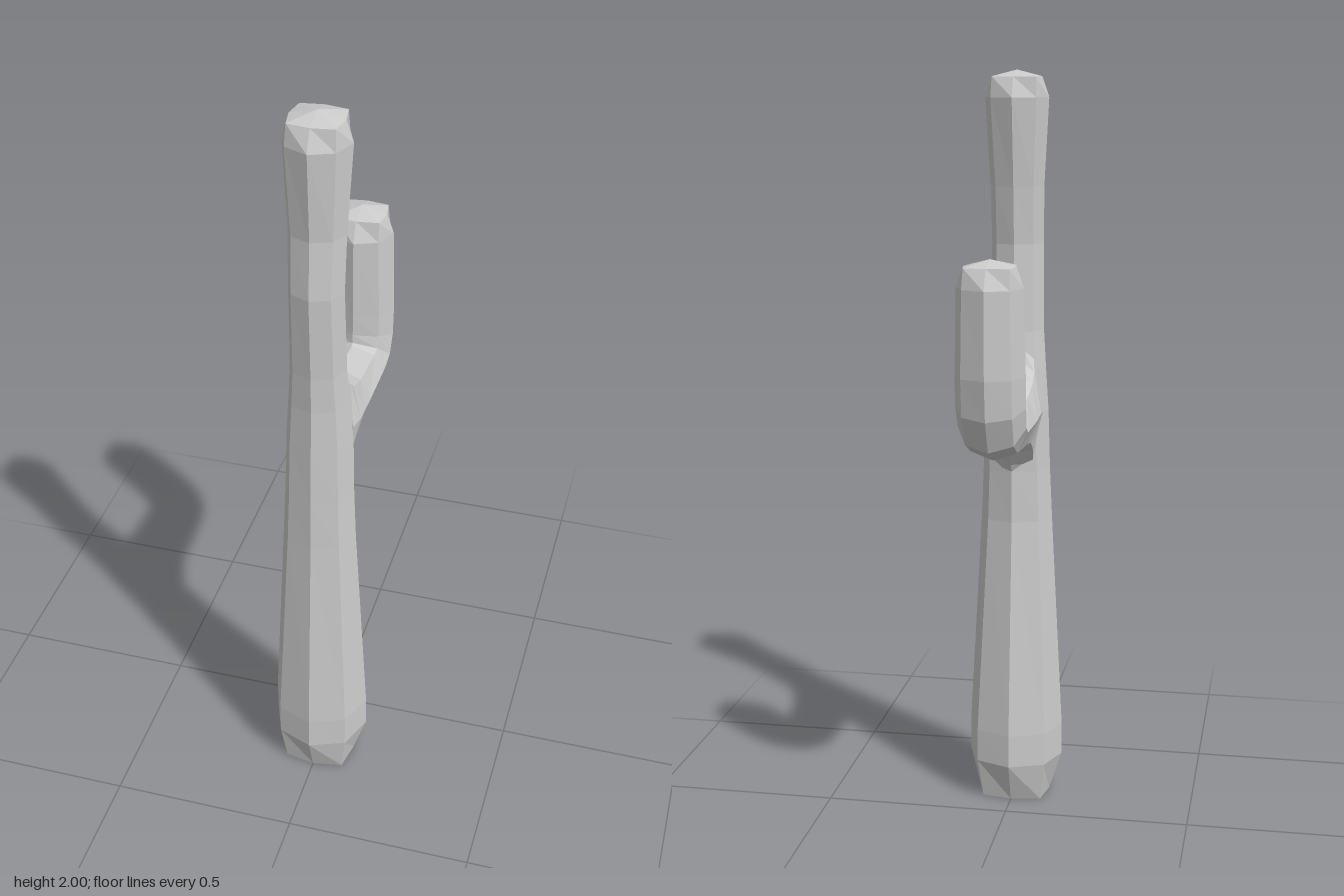
import * as THREE from 'three';

const SIDES = 8;

// One cross-section: spans from point a to point b (each [z, y]) and is rx wide to each side.
// corner > 1 pushes the diagonal points out, making the ring squarer.
function ring([a, b, rx, corner = 1]) {
  const points = [];
  for (let i = 0; i < SIDES; i++) {
    const t = (i / SIDES) * Math.PI * 2;
    const k = i % 2 ? corner : 1;
    const s = (Math.sin(t) * k) / 2;
    points.push(new THREE.Vector3(
      rx * k * Math.cos(t),
      (a[1] + b[1]) / 2 + (b[1] - a[1]) * s,
      (a[0] + b[0]) / 2 + (b[0] - a[0]) * s
    ));
  }
  return points;
}

// Faceted skin through a list of cross-sections; a ring of zero size closes an end.
function loft(name, sections, material) {
  const rings = sections.map(ring);
  const positions = [];
  const tri = (p, q, r) => {
    if (p.distanceTo(q) < 1e-6 || q.distanceTo(r) < 1e-6 || r.distanceTo(p) < 1e-6) return;
    for (const v of [p, q, r]) positions.push(v.x, v.y, v.z);
  };
  for (let j = 0; j < rings.length - 1; j++) {
    for (let i = 0; i < SIDES; i++) {
      const n = (i + 1) % SIDES;
      tri(rings[j][i], rings[j + 1][i], rings[j + 1][n]);
      tri(rings[j][i], rings[j + 1][n], rings[j][n]);
    }
  }
  const geometry = new THREE.BufferGeometry();
  geometry.setAttribute('position', new THREE.Float32BufferAttribute(positions, 3));
  geometry.computeVertexNormals();
  const mesh = new THREE.Mesh(geometry, material);
  mesh.name = name;
  return mesh;
}

export function createModel() {
  const group = new THREE.Group();
  group.name = 'cactus';
  const material = new THREE.MeshStandardMaterial({ color: 0xcccccc, flatShading: true });

  // Trunk: height, back z, front z, half width, corner
  const trunk = [
    [0, 0.175, 0.175, 0],
    [0, 0.085, 0.27, 0.095, 1.2],
    [0.11, 0.045, 0.306, 0.13, 1.02],
    [0.2, 0.047, 0.305, 0.13, 1.02],
    [0.8, 0.095, 0.268, 0.098],
    [0.94, 0.095, 0.262, 0.092],
    [1.1, 0.09, 0.256, 0.088],
    [1.22, 0.1, 0.25, 0.08],
    [1.32, 0.115, 0.25, 0.073],
    [1.55, 0.128, 0.26, 0.07],
    [1.7, 0.117, 0.248, 0.072],
    [1.93, 0.09, 0.26, 0.085],
    [1.983, 0.112, 0.235, 0.067, 1.22],
    [2, 0.174, 0.174, 0]
  ].map(([y, back, front, rx, corner]) => [[back, y], [front, y], rx, corner]);
  group.add(loft('trunk', trunk, material));

  // Arm: outer point, inner point, half width, corner; flares into the trunk and turns upward
  group.add(loft('arm', [
    [[0.125, 0.9], [0.135, 1.32], 0.075],
    [[0.08, 0.965], [0.105, 1.26], 0.085],
    [[0.04, 1.003], [0.073, 1.225], 0.086],
    [[0, 1.017], [0, 1.192], 0.084],
    [[-0.175, 1.035], [-0.128, 1.176], 0.085],
    [[-0.25, 1.07], [-0.136, 1.182], 0.088],
    [[-0.29, 1.155], [-0.138, 1.205], 0.09],
    [[-0.303, 1.26], [-0.138, 1.26], 0.09],
    [[-0.303, 1.48], [-0.138, 1.48], 0.085],
    [[-0.277, 1.532], [-0.163, 1.532], 0.067, 1.22],
    [[-0.22, 1.55], [-0.22, 1.55], 0]
  ], material));

  return group;
}
